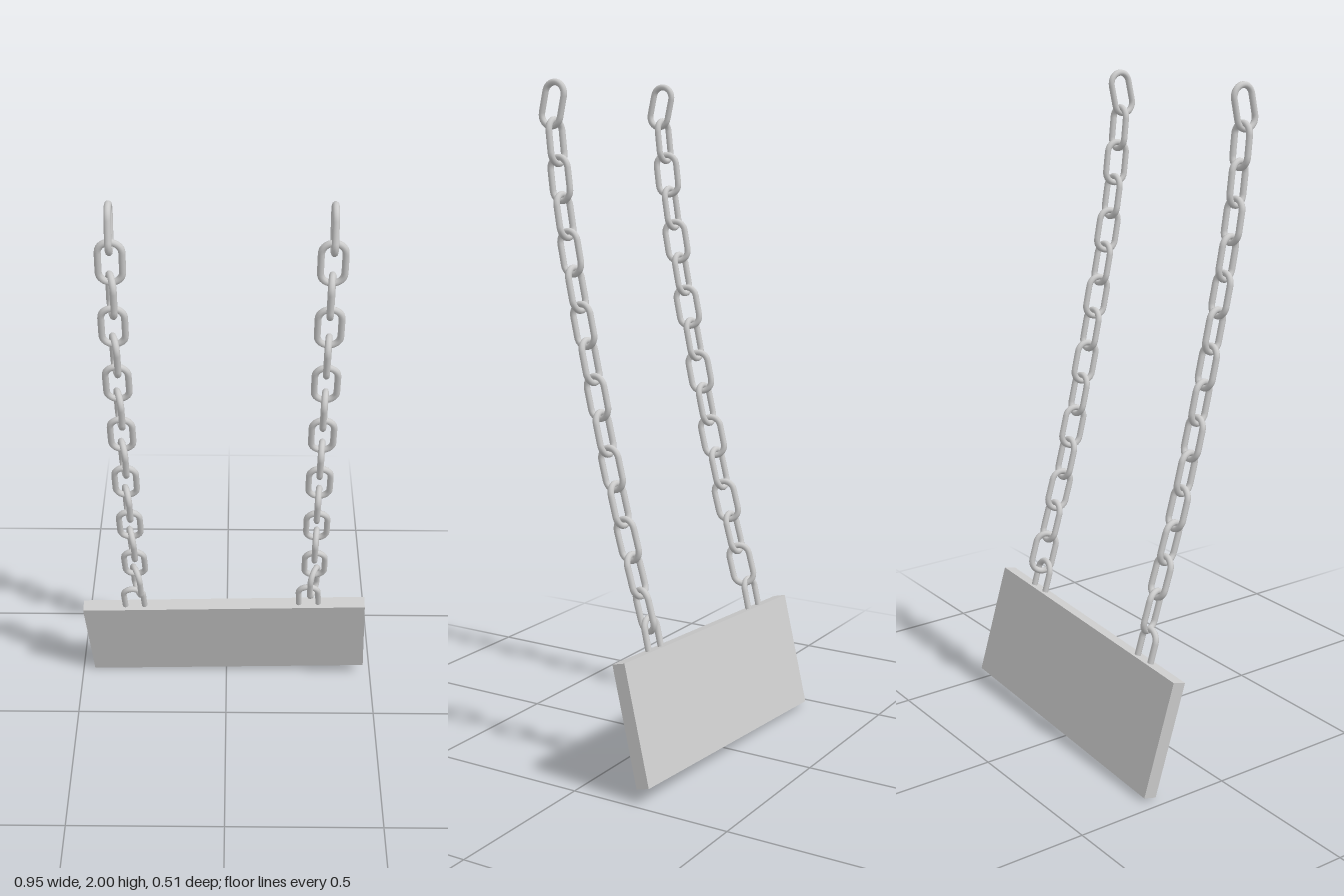
import * as THREE from 'three';

const WIRE = 0.0095, LINK_W = 0.083, LINK_L = 0.143, LINKS = 15;

// Centre line of one chain link: a stadium standing in the local xy plane
class LinkCurve extends THREE.Curve {
  getPoint(t, target = new THREE.Vector3()) {
    const r = LINK_W / 2 - WIRE, h = LINK_L / 2 - WIRE - r;
    const arc = Math.PI * r, total = 2 * arc + 4 * h;
    let d = (t % 1) * total;
    const side = d < total / 2 ? 1 : -1;
    if (side < 0) d -= total / 2;
    if (d < 2 * h) return target.set(side * r, side * (d - h), 0);
    const a = (d - 2 * h) / r;
    return target.set(side * r * Math.cos(a), side * (h + r * Math.sin(a)), 0);
  }
}

export function createModel() {
  const model = new THREE.Group();
  const material = new THREE.MeshStandardMaterial({ color: 0xcccccc });
  const linkGeometry = new THREE.TubeGeometry(new LinkCurve(), 44, WIRE, 10, true);

  const addMesh = (parent, geometry, name) => {
    const mesh = new THREE.Mesh(geometry, material);
    mesh.name = name;
    parent.add(mesh);
    return mesh;
  };

  // Swinging board, leaning back and slightly skewed
  const board = new THREE.Group();
  board.name = 'hangingBoard';
  const xAxis = new THREE.Vector3(0.935, 0.04, 0.02).normalize();
  const yAxis = new THREE.Vector3(-0.017, 0.345, 0.09);
  yAxis.addScaledVector(xAxis, -yAxis.dot(xAxis)).normalize();
  const zAxis = new THREE.Vector3().crossVectors(xAxis, yAxis);
  board.quaternion.setFromRotationMatrix(new THREE.Matrix4().makeBasis(xAxis, yAxis, zAxis));
  board.position.set(-0.001, 0.197, -0.18);
  addMesh(board, new THREE.BoxGeometry(0.936, 0.357, 0.042), 'panel');
  model.add(board);

  // Links half sunk into the top edge of the board
  for (const [x, name] of [[-0.295, 'rightStaple'], [0.282, 'leftStaple']]) {
    addMesh(board, linkGeometry, name).position.set(x, 0.208, 0);
  }

  // Chains: alternate links turn a quarter, with a little twist
  const heights = [1.93, 1.625, 1.21, 0.8, 0.495];
  const depths = [0.203, 0.167, 0.083, -0.015, -0.103];
  const addChain = (name, xs, twist, endTwist) => {
    const chain = new THREE.Group();
    chain.name = name;
    const path = new THREE.CatmullRomCurve3(
      heights.map((y, i) => new THREE.Vector3(xs[i], y, depths[i])));
    for (let i = 0; i < LINKS; i++) {
      const u = i / (LINKS - 1);
      const up = path.getTangentAt(u).negate();
      if (i === 0) up.set(0, 0.975, -0.22).normalize(); // free end tips back
      const across = new THREE.Vector3(1, 0, 0);
      across.addScaledVector(up, -across.dot(up)).normalize();
      const out = new THREE.Vector3().crossVectors(across, up);
      const link = addMesh(chain, linkGeometry, 'chainLink');
      link.quaternion.setFromRotationMatrix(new THREE.Matrix4().makeBasis(across, up, out));
      link.position.copy(path.getPointAt(u));
      if (i % 2 === 0) {
        const t = i === 0 ? 0 : i === LINKS - 1 ? endTwist : twist;
        link.rotateY(t - Math.PI / 2);
      }
    }
    model.add(chain);
  };
  addChain('rightChain', [-0.298, -0.302, -0.301, -0.298, -0.291], 0.25, 0.4);
  addChain('leftChain', [0.28, 0.28, 0.28, 0.281, 0.285], -0.1, -0.4);

  return model;
}
